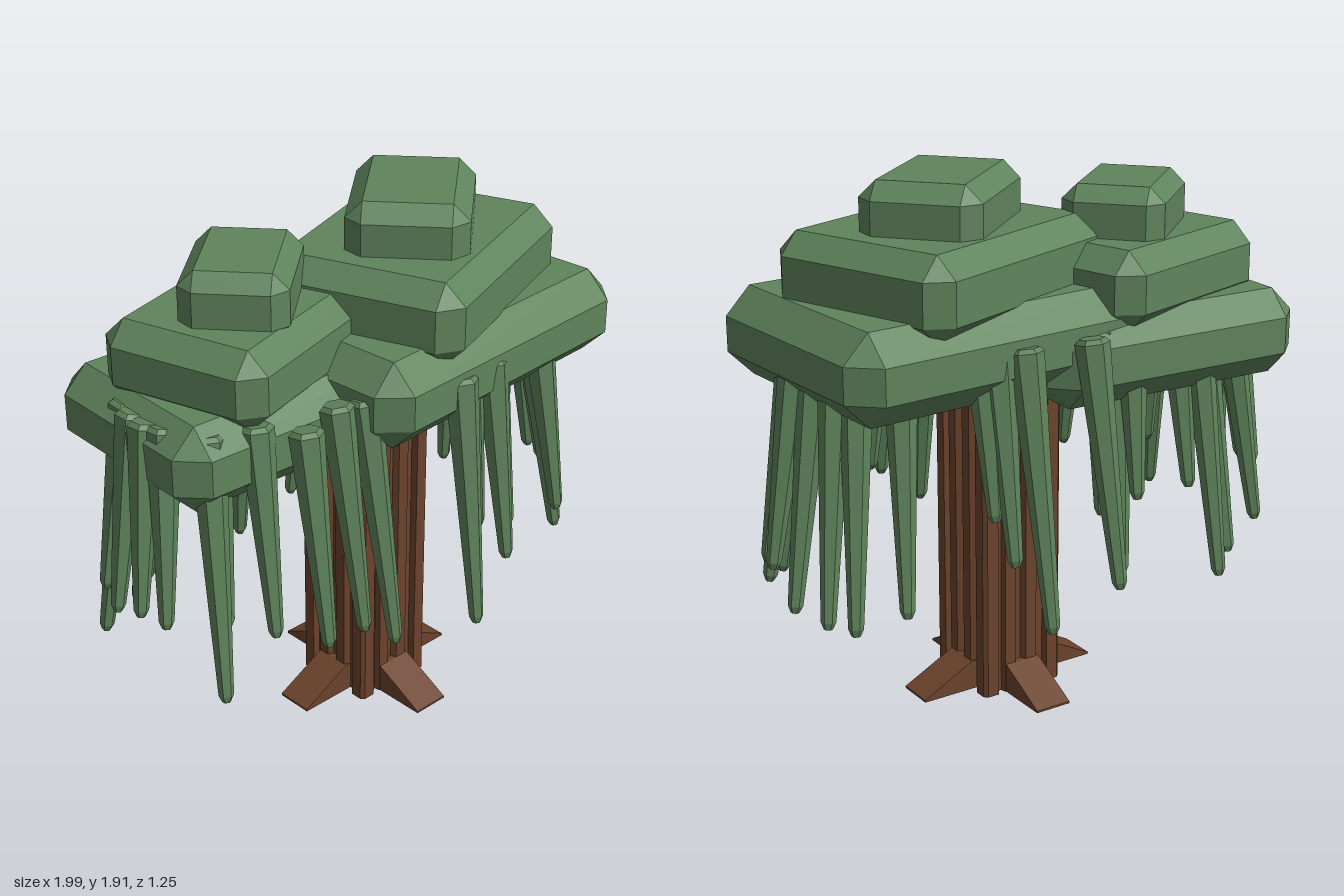
import * as THREE from 'three';
import { ConvexGeometry } from 'three/addons/geometries/ConvexGeometry.js';

const leaf = new THREE.MeshStandardMaterial({ color: 0x5f845c, flatShading: true });
const bark = new THREE.MeshStandardMaterial({ color: 0x6b432c, flatShading: true });

function add(parent, name, geometry, material) {
  const mesh = new THREE.Mesh(geometry, material);
  mesh.name = name;
  parent.add(mesh);
  return mesh;
}

// Box with every edge and corner cut at 45 degrees
function chamferedBox(w, h, d, c) {
  const points = [];
  for (const sx of [-1, 1]) for (const sy of [-1, 1]) for (const sz of [-1, 1]) {
    const x = w / 2, y = h / 2, z = d / 2;
    points.push(
      new THREE.Vector3(sx * x, sy * (y - c), sz * (z - c)),
      new THREE.Vector3(sx * (x - c), sy * y, sz * (z - c)),
      new THREE.Vector3(sx * (x - c), sy * (y - c), sz * z));
  }
  return new ConvexGeometry(points);
}

// Stacked slabs: [x, z, width, depth, bottom, top, chamfer, turn in degrees]
function canopy(name, tiers) {
  const group = new THREE.Group();
  group.name = name;
  tiers.forEach(([x, z, w, d, y0, y1, c, turn], i) => {
    const slab = add(group, 'canopyTier' + (i + 1), chamferedBox(w, y1 - y0, d, c), leaf);
    slab.position.set(x, (y0 + y1) / 2, z);
    slab.rotation.y = THREE.MathUtils.degToRad(turn);
  });
  return group;
}

// Hanging strand: thick inside the canopy, leaning outward to a blunt tip
function strand(parent, cx, cz, [x, y, z]) {
  const tip = new THREE.Vector3(x, y, z);
  const out = new THREE.Vector3((x - cx) * 0.5, 0, z - cz).normalize();
  const top = tip.clone().addScaledVector(out, -0.16 * (1.4 - y));
  top.y = 1.4;
  const axis = top.clone().sub(tip);
  const len = axis.length();
  const profile = [[0, 0], [0.015, 0], [0.026, 0.025], [0.06, len - 0.015], [0.045, len], [0, len]]
    .map(([r, h]) => new THREE.Vector2(r, h));
  const mesh = add(parent, 'hangingStrand', new THREE.LatheGeometry(profile, 6), leaf);
  mesh.position.copy(tip);
  mesh.quaternion.setFromUnitVectors(new THREE.Vector3(0, 1, 0), axis.normalize());
}

// Square trunk with three grooves down each side
function trunkGeometry() {
  const side = [[0.163, -0.15], [0.163, -0.105], [0.138, -0.1], [0.138, -0.078], [0.16, -0.073],
    [0.16, -0.03], [0.138, -0.02], [0.138, 0.005], [0.16, 0.015], [0.16, 0.06], [0.138, 0.07],
    [0.138, 0.1], [0.163, 0.105], [0.163, 0.15]];
  const points = [];
  for (let i = 0; i < 4; i++) {
    for (const [x, y] of side) {
      points.push(new THREE.Vector2(x, y).rotateAround(new THREE.Vector2(), i * Math.PI / 2));
    }
  }
  const g = new THREE.ExtrudeGeometry(new THREE.Shape(points), { depth: 1.32, bevelEnabled: false });
  return g.rotateX(-Math.PI / 2);
}

// Wedge-shaped root reaching along +x
function rootGeometry() {
  const side = new THREE.Shape([[0, 0], [0.36, 0], [0.36, 0.008], [0.16, 0.11], [0, 0.11]]
    .map(([x, y]) => new THREE.Vector2(x, y)));
  const g = new THREE.ExtrudeGeometry(side, { depth: 0.14, bevelEnabled: false });
  return g.translate(0, 0, -0.07);
}

export function createModel() {
  const model = new THREE.Group();
  model.name = 'weepingTree';

  // Trunk and four roots
  const base = new THREE.Group();
  base.name = 'trunkAndRoots';
  base.position.set(0.072, 0, 0.01);
  add(base, 'trunk', trunkGeometry(), bark);
  for (let i = 0; i < 4; i++) add(base, 'root', rootGeometry(), bark).rotation.y = i * Math.PI / 2;
  model.add(base);

  // Two overlapping canopies, the left one larger
  model.add(canopy('leftCanopy', [
    [0.31, 0.01, 1.235, 0.93, 1.21, 1.525, 0.095, 3.5],
    [0.3, 0.007, 0.93, 0.745, 1.44, 1.74, 0.075, 20],
    [0.298, 0.003, 0.57, 0.425, 1.67, 1.915, 0.06, 41],
  ]));
  model.add(canopy('rightCanopy', [
    [-0.4, -0.1, 1.03, 0.78, 1.13, 1.44, 0.09, -2.5],
    [-0.415, -0.09, 0.77, 0.63, 1.37, 1.655, 0.075, 16],
    [-0.405, -0.08, 0.48, 0.365, 1.6, 1.832, 0.055, 41],
  ]));

  // Strands, given by the position of their tips
  const strands = new THREE.Group();
  strands.name = 'strands';
  model.add(strands);
  const leftTips = [
    [0.05, 0.5, 0.6], [0.16, 0.8, 0.49], [0.25, 0.66, 0.55], [0.34, 0.72, 0.47],
    [0.61, 0.68, 0.47], [0.79, 0.47, 0.32], [0.9, 0.5, 0.2], [0.95, 0.62, 0.1], [0.975, 0.63, 0.01],
    [0.95, 0.5, -0.09], [0.91, 0.49, -0.25], [0.85, 0.48, -0.33], [0.67, 0.51, -0.36],
    [0.34, 0.67, -0.51], [0.38, 0.82, -0.45], [0.25, 0.44, -0.6], [-0.02, 0.54, -0.61],
  ];
  const rightTips = [
    [-0.04, 0.76, -0.47], [-0.2, 0.78, -0.46], [-0.16, 0.5, -0.43], [-0.46, 0.76, -0.42],
    [-0.54, 0.43, -0.51], [-0.68, 0.45, -0.39],
    [-0.91, 0.49, -0.27], [-0.93, 0.7, -0.22], [-0.975, 0.68, -0.1], [-0.975, 0.72, 0.03],
    [-0.94, 0.7, 0.12], [-0.86, 0.47, 0.32], [-0.78, 0.69, 0.24], [-0.67, 0.66, 0.36],
    [-0.56, 0.64, 0.5], [-0.35, 0.58, 0.45], [-0.24, 0.5, 0.49],
  ];
  leftTips.forEach((tip) => strand(strands, 0.32, 0, tip));
  rightTips.forEach((tip) => strand(strands, -0.41, -0.1, tip));
  return model;
}
